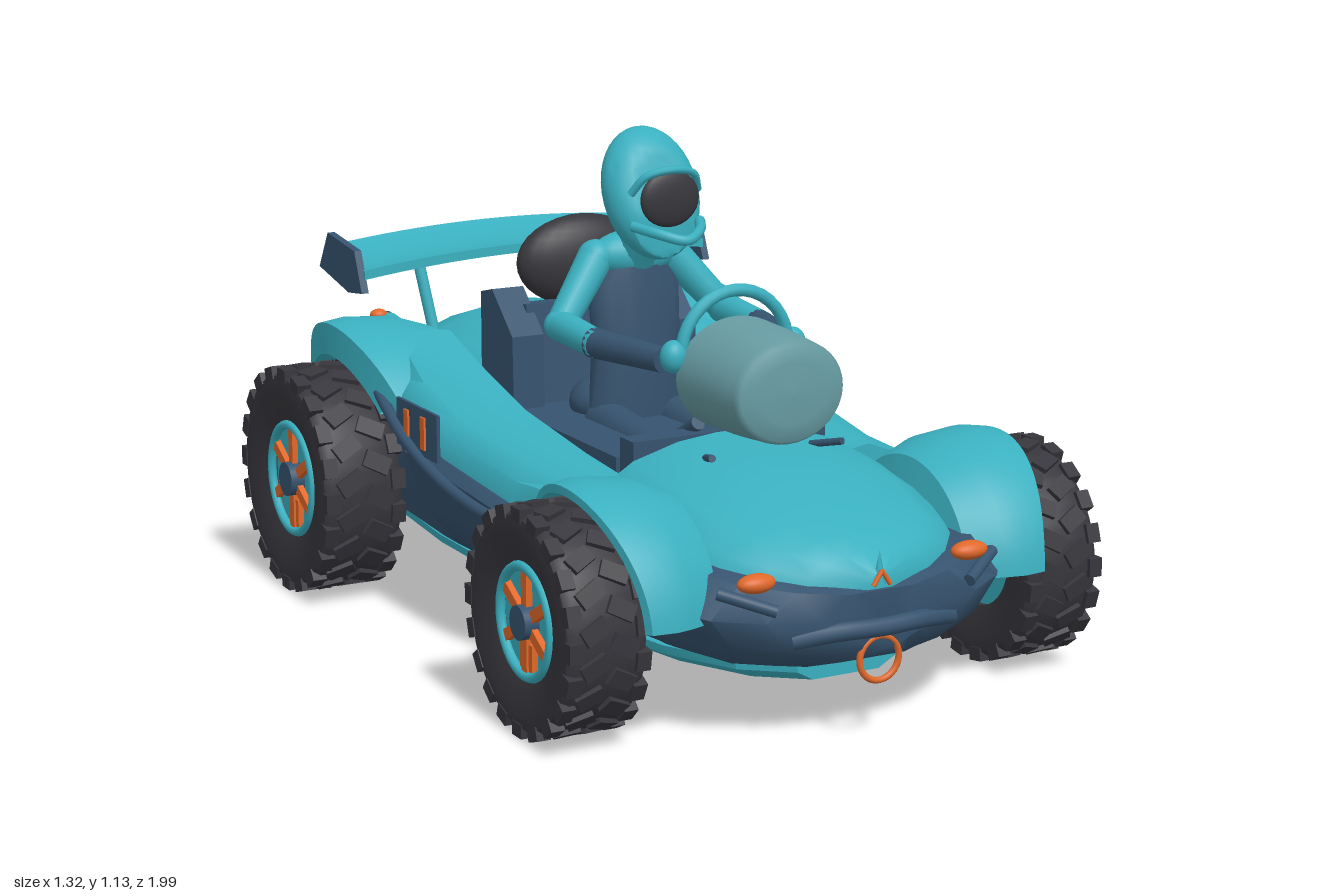
import * as THREE from 'three';
import { mergeGeometries, toCreasedNormals } from 'three/addons/utils/BufferGeometryUtils.js';

const mat = (name, color) => Object.assign(new THREE.MeshStandardMaterial({ color, side: THREE.DoubleSide }), { name });
const V = (x, y, z) => new THREE.Vector3(x, y, z);
const points2 = (list) => list.map(p => new THREE.Vector2(...p));

export function createModel() {
  const root = new THREE.Group();
  root.name = 'buggy';
  const teal = mat('teal', 0x3aafbf), navy = mat('navy', 0x36536e), black = mat('rubberBlack', 0x36363c);
  const orange = mat('orange', 0xe0682a), glass = mat('glass', 0x679ca3);

  const add = (name, geo, m, parent = root) => {
    const mesh = new THREE.Mesh(geo, m);
    mesh.name = name;
    parent.add(mesh);
    return mesh;
  };
  const flip = (geo) => { // mirrored copy with corrected winding
    const g = geo.clone().scale(-1, 1, 1);
    if (!g.index) g.setIndex([...Array(g.attributes.position.count).keys()]);
    const a = g.index.array;
    for (let i = 0; i < a.length; i += 3) [a[i], a[i + 1]] = [a[i + 1], a[i]];
    return g;
  };
  const pair = (name, geo, m) => { add(name + 'Left', geo, m); add(name + 'Right', flip(geo), m); };
  const box = (w, h, d, x = 0, y = 0, z = 0, rx = 0) => new THREE.BoxGeometry(w, h, d).rotateX(rx).translate(x, y, z);
  const ball = (rx, ry, rz, x, y, z) => new THREE.SphereGeometry(1, 24, 16).scale(rx, ry, rz).translate(x, y, z);
  const tube = (pts, r) => new THREE.TubeGeometry(new THREE.CatmullRomCurve3(pts.map(p => V(...p))), 24, r, 8);
  const bar = (a, b, r1, r2 = r1) => { // tapered limb or rod between two points
    const A = V(...a), B = V(...b), d = B.clone().sub(A);
    const q = new THREE.Quaternion().setFromUnitVectors(V(0, 1, 0), d.clone().normalize());
    return new THREE.CylinderGeometry(r2, r1, d.length(), 14).applyQuaternion(q).translate(...A.add(B).multiplyScalar(0.5).toArray());
  };
  // flat plate from a side outline of [-z, y] points
  const sidePlate = (outline, depth, x) => new THREE.ExtrudeGeometry(new THREE.Shape(points2(outline)), { depth, bevelEnabled: false })
    .rotateY(Math.PI / 2).translate(x, 0, 0);
  // rings run from front to back, each anticlockwise as seen from the front
  const loft = (rings, crease = 0.75) => {
    const n = rings[0].length, idx = [];
    for (let i = 0; i < rings.length - 1; i++) for (let j = 0; j < n; j++) {
      const a = i * n + j, b = i * n + (j + 1) % n;
      idx.push(a, a + n, b, b, a + n, b + n);
    }
    const e = (rings.length - 1) * n;
    for (let j = 1; j < n - 1; j++) idx.push(0, j, j + 1, e, e + j + 1, e + j);
    const g = new THREE.BufferGeometry();
    g.setAttribute('position', new THREE.Float32BufferAttribute(rings.flat(2), 3));
    g.setIndex(idx);
    return toCreasedNormals(g, crease);
  };
  const sym = (z, half) => [...half, ...half.slice().reverse().map(([x, y]) => [-x, y])].map(([x, y]) => [x, y, z]);

  // lower hull: z, bottom half width, bottom y, widest half width, its y, top half width, top y
  add('lowerHull', loft([
    [0.97, 0.07, 0.2, 0.14, 0.27, 0.08, 0.32], [0.94, 0.13, 0.17, 0.25, 0.275, 0.18, 0.33],
    [0.88, 0.2, 0.15, 0.345, 0.28, 0.28, 0.345], [0.8, 0.25, 0.14, 0.405, 0.29, 0.33, 0.36],
    [0.6, 0.29, 0.13, 0.425, 0.3, 0.34, 0.38], [0.36, 0.33, 0.13, 0.43, 0.32, 0.36, 0.4],
    [0.3, 0.34, 0.14, 0.455, 0.33, 0.39, 0.4], [-0.28, 0.36, 0.14, 0.49, 0.39, 0.42, 0.45],
    [-0.35, 0.36, 0.14, 0.44, 0.4, 0.38, 0.45], [-0.75, 0.36, 0.16, 0.43, 0.36, 0.36, 0.45],
    [-0.9, 0.32, 0.21, 0.38, 0.34, 0.32, 0.44], [-0.945, 0.27, 0.25, 0.32, 0.34, 0.27, 0.41],
  ].map(([z, wb, yb, wm, ym, wt, yt]) => sym(z, [[wb * 0.6, yb], [wb, yb + 0.015],
    [wb + (wm - wb) * 0.62, yb + (ym - yb) * 0.45], [wm, ym], [wt, yt], [wt * 0.5, yt]])), 0.9), navy);

  // arched covers: z, half width, edge y, crown y
  const arch = (rows) => loft(rows.map(([z, w, yb, yt]) =>
    sym(z, [[w, yb], ...[0.25, 0.5, 0.75, 0.93].map(t => [w * Math.cos(t * Math.PI / 2), yb + (yt - yb) * Math.sin(t * Math.PI / 2)])])));
  add('hood', arch([[0.965, 0.03, 0.32, 0.355], [0.92, 0.15, 0.328, 0.39], [0.87, 0.225, 0.338, 0.415], [0.8, 0.285, 0.35, 0.44],
    [0.65, 0.33, 0.365, 0.485], [0.5, 0.35, 0.37, 0.51], [0.36, 0.34, 0.38, 0.52]]), teal);
  add('rearDeck', arch([[-0.38, 0.25, 0.42, 0.57], [-0.5, 0.28, 0.42, 0.62], [-0.68, 0.31, 0.42, 0.63],
    [-0.82, 0.31, 0.41, 0.585], [-0.91, 0.29, 0.4, 0.52], [-0.955, 0.25, 0.4, 0.45]]), teal);
  // side pods: z, lower edge y, top y, outer half width
  pair('sidePod', loft([[0.4, 0.38, 0.46, 0.43], [0.2, 0.375, 0.475, 0.455], [-0.1, 0.41, 0.51, 0.475],
    [-0.3, 0.45, 0.56, 0.48], [-0.5, 0.47, 0.62, 0.45]].map(([z, yb, yt, w]) =>
    [[0.25, yb - 0.02], [w, yb], [w - 0.01, yb + 0.05], [w - 0.05, yt - 0.02], [0.33, yt], [0.27, yt - 0.01]].map(([x, y]) => [x, y, z]))), teal);

  // fenders are part turns about the axle, drawn in towards both ends
  const fender = (pts, a0, a1, y, z, sz) => {
    const g = new THREE.LatheGeometry(points2(pts), 28, Math.PI + a0, a1 - a0).rotateZ(-Math.PI / 2).scale(1, 1, sz);
    const p = g.attributes.position;
    for (let i = 0; i < p.count; i++) p.setX(i, p.getX(i) - (p.getX(i) > 0.4 ? 0.8 * p.getZ(i) ** 2 : 0));
    return toCreasedNormals(g.translate(0, y, z), 0.7);
  };
  pair('frontFender', fender([[0.1, 0.43], [0.25, 0.45], [0.252, 0.53], [0.27, 0.53], [0.278, 0.48], [0.268, 0.38], [0.235, 0.3], [0.1, 0.26]],
    0.35, 3.06, 0.245, 0.605, 1), teal);
  pair('rearFender', fender([[0.12, 0.43], [0.285, 0.45], [0.285, 0.53], [0.36, 0.53], [0.368, 0.47], [0.36, 0.36], [0.33, 0.27], [0.12, 0.25]],
    0.25, 2.45, 0.27, -0.605, 0.93), teal);

  // skid plate with raised edges, tapering towards the nose
  add('skidPlate', loft([[0.84, 0.12], [0.76, 0.22], [0.6, 0.3], [0.36, 0.35], [-0.4, 0.35], [-0.82, 0.31]].map(([z, w]) =>
    sym(z, [[w - 0.04, 0.105], [w - 0.005, 0.125], [w, 0.145], [w - 0.02, 0.158]])), 0.4), teal);

  // wheels, axle along x with the outside at +x
  const wheel = (name, R, w, x, y, z) => {
    const g = new THREE.Group();
    g.name = name;
    const rim = R * 0.5, h = w / 2, b = R - 0.01;
    const prof = [[rim, -h * 0.75], [b * 0.8, -h], [b * 0.95, -h * 0.95], [b, -h * 0.78], [b, h * 0.78], [b * 0.95, h * 0.95], [b * 0.8, h], [rim, h * 0.75], [rim, -h * 0.75]];
    add('tyre', toCreasedNormals(new THREE.LatheGeometry(points2(prof), 40), 0.7).rotateZ(-Math.PI / 2), black, g);
    const knobs = [];
    for (let i = 0; i < 20; i++) for (const s of [-1, 1]) {
      const a = (i + (s > 0 ? 0.5 : 0)) / 20 * Math.PI * 2;
      knobs.push(new THREE.BoxGeometry(w * 0.32, 0.016, R * 0.15).rotateY(s * 0.5).translate(s * w * 0.17, b + 0.001, 0).rotateX(a));
      knobs.push(new THREE.BoxGeometry(w * 0.17, 0.03, R * 0.17).translate(s * w * 0.41, b - 0.006, 0).rotateX(a + 0.15));
    }
    add('treadBlocks', mergeGeometries(knobs), black, g);
    const disc = (r, d, px) => new THREE.CylinderGeometry(r, r, d, 28).rotateZ(Math.PI / 2).translate(px, 0, 0);
    add('rimDish', disc(rim, w * 0.6, 0), teal, g);
    add('rimRing', new THREE.TorusGeometry(rim - 0.006, 0.011, 8, 32).rotateY(Math.PI / 2).translate(h * 0.76, 0, 0), teal, g);
    const spokes = [...Array(6).keys()].map(i => box(0.014, rim * 0.9, 0.024, h * 0.72, rim * 0.5, 0).rotateX(i * Math.PI / 3));
    spokes.push(box(0.016, rim * 0.5, 0.055, h * 0.66, -rim * 0.62, 0));
    add('spokes', mergeGeometries(spokes), orange, g);
    add('hub', disc(rim * 0.3, 0.04, h * 0.74), navy, g);
    add('axle', disc(0.025, 0.2, -0.12), navy, g);
    g.position.set(x, y, z);
    if (x < 0) g.rotation.y = Math.PI;
    root.add(g);
  };
  for (const s of [1, -1]) {
    wheel('frontWheel', 0.243, 0.185, s * 0.55, 0.245, 0.605);
    wheel('rearWheel', 0.268, 0.2, s * 0.56, 0.27, -0.605);
  }

  // nose details
  pair('headlight', ball(0.043, 0.02, 0.025, 0.255, 0.352, 0.905), orange);
  pair('noseBar', bar([0.23, 0.3, 0.945], [0.33, 0.335, 0.88], 0.013), navy);
  add('frontBumper', tube([[-0.19, 0.23, 0.935], [-0.1, 0.245, 0.97], [0, 0.245, 0.98], [0.1, 0.245, 0.97], [0.19, 0.23, 0.935]], 0.02), navy);
  add('towRing', new THREE.TorusGeometry(0.047, 0.007, 8, 28).translate(0, 0.175, 0.965), orange);
  add('noseOrnament', new THREE.ConeGeometry(0.014, 0.07, 6).translate(0, 0.365, 0.96), teal);
  add('noseOrnamentFeet', mergeGeometries([1, -1].map(s => bar([0, 0.36, 0.97], [s * 0.02, 0.33, 0.97], 0.005))), orange);

  // side trim
  pair('sidePipe', tube([[0.44, 0.37, 0.34], [0.47, 0.335, 0.18], [0.485, 0.36, -0.08], [0.495, 0.43, -0.28], [0.49, 0.5, -0.42]], 0.014), navy);
  pair('sidePanel', box(0.008, 0.11, 0.22, 0.486, 0.455, -0.21), navy);
  pair('sidePanelStripe', mergeGeometries([-0.17, -0.26].map(z => box(0.008, 0.075, 0.022, 0.491, 0.455, z))), orange);

  // rear lamps, trim, plate and diffuser
  pair('tailLampBracket', bar([0.285, 0.53, -0.78], [0.25, 0.49, -0.93], 0.018), navy);
  pair('tailLampCollar', bar([0.23, 0.515, -0.9], [0.23, 0.525, -0.968], 0.044, 0.042), teal);
  pair('tailLamp', bar([0.23, 0.527, -0.93], [0.23, 0.533, -0.982], 0.035), navy);
  pair('tailLampLens', ball(0.022, 0.014, 0.02, 0.25, 0.562, -0.968), orange);
  add('rearTrim', tube([[-0.22, 0.44, -0.95], [-0.12, 0.425, -0.963], [0, 0.418, -0.97], [0.12, 0.425, -0.963], [0.22, 0.44, -0.95]], 0.011), orange);
  add('rearPlate', box(0.18, 0.08, 0.012, 0, 0.35, -0.955), navy);
  add('diffuser', box(0.58, 0.02, 0.16, 0, 0.21, -0.87, 0.5), black);
  add('diffuserFins', mergeGeometries([-0.28, -0.14, 0, 0.14, 0.28].map(x =>
    sidePlate([[0.82, 0.15], [0.95, 0.17], [0.95, 0.27], [0.9, 0.25]], 0.012, x - 0.006))), teal);

  // rear wing
  const wing = new THREE.BoxGeometry(0.91, 0.022, 0.2, 20, 1, 6);
  const p = wing.attributes.position;
  for (let i = 0; i < p.count; i++)
    p.setY(i, p.getY(i) + 0.78 - 0.03 * (p.getX(i) / 0.45) ** 2 - 0.15 * p.getZ(i) + 1.2 * p.getZ(i) ** 2);
  wing.translate(0, 0, -0.67).computeVertexNormals();
  add('wing', wing, teal);
  pair('wingEndPlate', sidePlate([[0.56, 0.705], [0.6, 0.8], [0.76, 0.82], [0.815, 0.73], [0.64, 0.695]], 0.018, 0.45), navy);
  pair('wingStrut', bar([0.25, 0.57, -0.63], [0.275, 0.76, -0.67], 0.014), teal);

  // seat
  add('seatCushion', box(0.48, 0.05, 0.56, 0, 0.445, 0), navy);
  add('dash', box(0.48, 0.09, 0.06, 0, 0.475, 0.33), navy);
  add('seatBack', box(0.36, 0.28, 0.06, 0, 0.56, -0.29, -0.1), navy);
  pair('seatBolster', sidePlate([[0.22, 0.45], [0.225, 0.64], [0.33, 0.735], [0.39, 0.72], [0.39, 0.45]], 0.08, 0.16), navy);
  add('headrest', ball(0.165, 0.108, 0.06, 0, 0.782, -0.35), black);

  // cowl screen, open towards the driver
  const screen = [[0.147, -0.12], [0.143, 0], [0.134, 0.1], [0.124, 0.114], [0.08, 0.12], [0, 0.123]];
  add('cowlScreen', new THREE.LatheGeometry(points2(screen), 36).rotateX(Math.PI / 2).scale(1, 0.84, 1).translate(0, 0.653, 0.5), glass);

  // steering wheel and column
  add('steeringWheel', new THREE.TorusGeometry(0.132, 0.014, 10, 36).translate(0, 0.7, 0.375), teal);
  add('steeringSpokes', box(0.25, 0.018, 0.012, 0, 0.7, 0.37), navy);
  add('steeringColumn', bar([0, 0.54, 0.34], [0, 0.69, 0.365], 0.013), orange);
  pair('pedal', bar([0.07, 0.54, 0.34], [0.07, 0.5, 0.27], 0.016), navy);
  pair('hoodPeg', bar([0.13, 0.5, 0.48], [0.16, 0.52, 0.56], 0.008), navy);

  // driver body: torso rings are y, half width, z
  add('torso', loft([[0.86, 0.06, -0.1], [0.78, 0.115, -0.09], [0.65, 0.11, -0.075], [0.46, 0.12, -0.075]].map(([y, w, z]) =>
    [...Array(16).keys()].map(i => i / 8 * Math.PI).map(a => [w * Math.cos(a), 0.06 * Math.sin(a) - z, y]))).rotateX(-Math.PI / 2), navy);
  add('hips', ball(0.13, 0.07, 0.1, 0, 0.49, -0.14), navy);
  add('shoulders', ball(0.11, 0.055, 0.055, 0, 0.84, -0.085), teal);
  add('neck', bar([0, 0.83, -0.08], [0, 0.92, -0.02], 0.05), teal);
  pair('thigh', bar([0.08, 0.46, -0.08], [0.09, 0.44, 0.28], 0.05, 0.045), navy);
  pair('shoulderJoint', ball(0.042, 0.042, 0.042, 0.095, 0.835, -0.09), teal);
  pair('upperArm', bar([0.095, 0.835, -0.09], [0.21, 0.7, -0.04], 0.042, 0.034), teal);
  pair('elbow', ball(0.037, 0.036, 0.037, 0.21, 0.7, -0.04), teal);
  pair('sleeve', bar([0.21, 0.7, -0.04], [0.21, 0.69, 0.14], 0.036, 0.032), teal);
  pair('forearm', bar([0.21, 0.69, 0.12], [0.16, 0.69, 0.35], 0.034, 0.028), navy);
  pair('glove', ball(0.03, 0.036, 0.028, 0.148, 0.7, 0.37), teal);

  // helmet leans back towards its crown, cut flat behind and bevelled in front
  const helmet = new THREE.SphereGeometry(1, 28, 20).scale(0.115, 0.144, 0.085);
  const hp = helmet.attributes.position;
  for (let i = 0; i < hp.count; i++) {
    const y = hp.getY(i);
    hp.setZ(i, THREE.MathUtils.clamp(hp.getZ(i) - 0.33 * y - 0.005, -0.08, Math.min(0.068, 0.005 + (0.144 - y) * 0.35)));
  }
  add('helmet', toCreasedNormals(helmet.translate(0, 0.989, 0), 0.6), teal);
  add('visor', ball(0.074, 0.064, 0.018, 0, 0.988, 0.085), black);
  add('visorBrow', tube([[-0.085, 1.0, 0.06], [-0.06, 1.04, 0.085], [0, 1.054, 0.1], [0.06, 1.04, 0.085], [0.085, 1.0, 0.06]], 0.009), teal);
  add('chinGuard', tube([[-0.085, 0.93, 0.07], [-0.05, 0.918, 0.13], [0, 0.905, 0.16], [0.05, 0.918, 0.13], [0.085, 0.93, 0.07]], 0.012), teal);
  return root;
}
